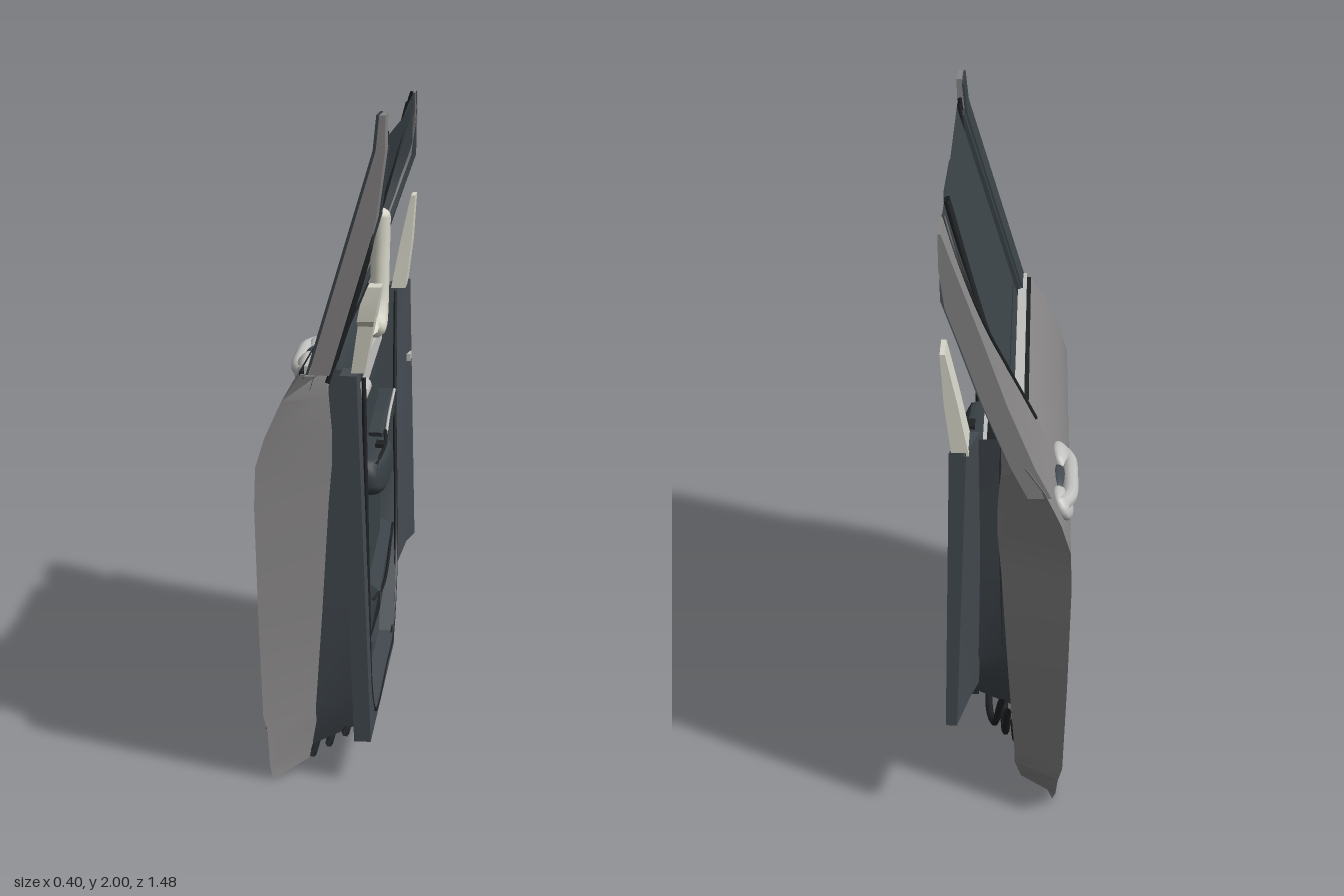
import * as THREE from 'three';
import { toCreasedNormals } from 'three/addons/utils/BufferGeometryUtils.js';

const mat = (name, color) => {
  const m = new THREE.MeshStandardMaterial({ color, side: THREE.DoubleSide });
  m.name = name;
  return m;
};

export function createModel() {
  const paint = mat('grey paint', 0x868484);
  const trim = mat('slate trim', 0x3a4247);
  const pillarTrim = mat('pillar trim', 0x434a50);
  const glass = mat('dark glass', 0x3a4347);
  const bright = mat('bright metal', 0xc0c0bf);
  const cream = mat('cream plastic', 0xd6d5c7);
  const black = mat('black rubber', 0x1f2224);
  const group = new THREE.Group();
  group.name = 'carDoor';

  const add = (name, geo, m, parent = group) => {
    const mesh = new THREE.Mesh(geo, m);
    mesh.name = name;
    parent.add(mesh);
    return mesh;
  };
  const V = (x, y, z) => new THREE.Vector3(x, y, z);

  // Skin over rows of [x, y, z] points; closed rows become a capped solid
  const loft = (rows, closed = false, crease = 0.5) => {
    const n = rows[0].length, index = [], last = (rows.length - 1) * n;
    for (let i = 0; i < rows.length - 1; i++) {
      for (let j = 0; j < (closed ? n : n - 1); j++) {
        const k = (j + 1) % n, a = i * n + j, b = i * n + k;
        index.push(a, b, a + n, b, b + n, a + n);
      }
    }
    if (closed) for (let j = 1; j < n - 1; j++) index.push(0, j + 1, j, last, last + j, last + j + 1);
    const g = new THREE.BufferGeometry();
    g.setAttribute('position', new THREE.Float32BufferAttribute(rows.flat(2), 3));
    g.setIndex(index);
    return toCreasedNormals(g.toNonIndexed(), crease);
  };
  // Solid slab: rows of [y, outer x, inner x, front z, rear z], inner face inset in z
  const slab = (rows, inF = 0, inR = 0) => loft(rows.map(([y, xo, xi, f, r]) =>
    [[xo, y, f], [xo, y, r], [xi, y, r + inR], [xi, y, f - inF]]), true);
  // Side-on outline of [z, y] points, extruded along x
  const plate = (pts, x, depth, bevel = 0) => {
    const s = new THREE.Shape(pts.map(([z, y]) => new THREE.Vector2(-z, y)));
    const g = new THREE.ExtrudeGeometry(s, { depth, bevelEnabled: bevel > 0, bevelSize: bevel, bevelThickness: bevel, bevelSegments: 3 });
    return g.rotateY(Math.PI / 2).translate(x, 0, 0);
  };
  const tube = (pts, r, seg = 32, sides = 8) =>
    new THREE.TubeGeometry(new THREE.CatmullRomCurve3(pts.map(p => V(...p))), seg, r, sides);
  const box = (w, h, d, x, y, z) => new THREE.BoxGeometry(w, h, d).translate(x, y, z);
  // Sloped plane of the windows
  const gx = y => Math.min(0.198, -0.005 + (y - 1.25) * 0.297);
  const bend = (geo, rule) => {
    const p = geo.attributes.position;
    for (let i = 0; i < p.count; i++) p.setX(i, Math.min(0.2, p.getX(i) + rule(p.getY(i), p.getZ(i))));
    geo.computeVertexNormals();
    return geo;
  };

  // Painted door shell with its jambs
  add('doorShell', slab([
    [0, -0.13, -0.1, 0.74, -0.62], [0.04, -0.14, -0.03, 0.74, -0.65],
    [0.15, -0.147, -0.01, 0.74, -0.73], [0.2, -0.16, -0.01, 0.74, -0.74],
    [0.5, -0.172, 0.01, 0.74, -0.74], [0.85, -0.182, 0.03, 0.74, -0.74],
    [0.97, -0.178, 0.04, 0.74, -0.74], [1.06, -0.15, 0.04, 0.74, -0.74],
    [1.17, -0.1, 0.03, 0.74, -0.74], [1.25, -0.045, 0.02, 0.74, -0.74]], 0.08, 0.1), paint);
  add('lowerCrease', tube([[-0.15, 0.16, 0.735], [-0.15, 0.16, -0.72]], 0.003, 4, 5), black);

  // Painted frame behind the windows, and its dark inner lining
  const frame = [[1.15, -0.12, -0.38], [1.25, -0.07, -0.4], [1.45, 0.01, -0.49], [1.62, 0.068, -0.6],
    [1.75, 0.114, -0.64], [1.87, 0.157, -0.63], [1.97, 0.192, -0.59]];
  add('rearFrame', slab(frame.map(([y, x, f]) => [y, x, Math.min(0.2, x + 0.07), f, -0.735])), paint);
  add('rearFrameLining', loft(frame.slice(1).map(([y, x, f]) =>
    [[gx(y) - 0.005, y, f + 0.03], [Math.min(0.2, x + 0.085), y, f - 0.02], [Math.min(0.2, x + 0.085), y, -0.68]])), trim);
  add('rearFrameSeal', tube(frame.slice(1).map(([y, x, f]) => [Math.min(0.19, x), y, f]), 0.008), black);

  // Window panes and the divider bar
  const pane = rows => loft(rows.map(([y, f, r]) => [[gx(y), y, f], [gx(y), y, r]]));
  add('mainWindow', pane([[1.2, 0.72, -0.37], [1.6, 0.66, -0.38], [1.93, 0.6, -0.39]]), glass);
  add('mainWindowTop', loft([[[gx(1.93), 1.93, 0], [gx(1.93), 1.93, -0.4]], [[0.199, 1.935, 0], [0.199, 1.97, -0.4]]]), glass);
  add('quarterWindow', pane([[1.2, -0.37, -0.42], [1.45, -0.37, -0.52], [1.65, -0.38, -0.65], [1.85, -0.39, -0.66], [1.94, -0.4, -0.61]]), glass);
  for (const z of [-0.37, -0.395]) {
    add('windowDivider', tube([[gx(1.25), 1.25, z + 0.012], [gx(1.6), 1.6, z], [0.19, 1.95, z - 0.01]], 0.009), black);
  }
  add('outerBeltStrip', box(0.03, 0.03, 1.1, -0.02, 1.258, 0.17), bright);
  add('outerBeltSeal', box(0.014, 0.02, 1.1, -0.042, 1.247, 0.17), black);

  // Front window pillar
  const pillarRows = (f0, f1, r0, r1, d, t) => [1.25, 1.45, 1.7, 1.9, 2].map((y, i) => {
    const x = Math.min(0.192, gx(y) + d), k = i / 4;
    return [y, x, Math.min(0.2, x + t), f0 + (f1 - f0) * k, r0 + (r1 - r0) * k];
  });
  add('frontPillar', slab(pillarRows(0.74, 0.74, 0.63, 0.63, -0.015, 0.06)), paint);
  add('frontPillarCover', slab(pillarRows(0.735, 0.735, 0.58, 0.58, -0.024, 0.007)), glass);
  add('frontWindowFrame', slab(pillarRows(0.635, 0.62, 0.57, 0.55, -0.015, 0.065).slice(0, 4)), trim);
  for (const z of [0.57, 0.63, 0.7]) {
    add('frontPillarSeal', tube([[gx(1.22) + 0.045, 1.22, z], [gx(1.6) + 0.045, 1.6, z - 0.01], [0.19, 1.94, z - 0.02]], 0.007), black);
  }

  // Inner door panel, rolled back at its edges
  const inner = [[0.13, 0.03, 0.54, -0.16], [0.16, 0.08, 0.6, -0.22], [0.22, 0.105, 0.64, -0.3], [0.35, 0.11, 0.65, -0.42],
    [0.5, 0.105, 0.65, -0.49], [0.85, 0.1, 0.65, -0.55], [1.0, 0.09, 0.645, -0.575],
    [1.2, 0.075, 0.64, -0.61], [1.28, 0.05, 0.63, -0.62], [1.31, 0.01, 0.62, -0.62]];
  add('innerPanel', loft(inner.map(([y, x, f, r]) => Array.from({ length: 17 }, (_, i) => {
    const t = i / 16, e = Math.abs(2 * t - 1);
    return [x - Math.max(0, x - 0.03) * Math.pow(e, 16), y, f + (r - f) * t];
  })), false, 0.8), trim);

  // Body surround: kick strip, sill and rear pillar in one sweep
  add('bodySurround', toCreasedNormals(bend(plate([[0.74, 1.25], [0.74, 0.13], [-0.2, 0.12], [-0.45, 0.33], [-0.6, 0.37],
    [-0.74, 0.36], [-0.74, 1.3], [-0.6, 1.3], [-0.53, 0.85], [-0.47, 0.45], [-0.41, 0.35], [-0.2, 0.165],
    [0.57, 0.16], [0.64, 0.25], [0.625, 1.25]], 0.07, 0.05),
    (y, z) => (1.25 - y) * 0.04 + Math.max(0, -0.5 - z) * 0.25), 0.5), pillarTrim);
  // Wall between the shell and the surround, sloping down to the sill
  add('surroundLining', loft([[0.65, 1.25, 0], [0.655, 0.6, 0], [0.655, 0.25, 0.04], [0.62, 0.145, 0.075], [-0.2, 0.14, 0.075],
    [-0.42, 0.335, 0.03], [-0.48, 0.45, 0], [-0.54, 0.85, 0], [-0.61, 1.28, 0]].map(([z, y, drop]) =>
    [[-0.03 + 0.05 * y, y - drop, z], [0.12 - 0.03 * (y - 0.5), y, z]])), pillarTrim);
  add('surroundSeal', tube([[0.13, 1.22, 0.615], [0.145, 0.6, 0.63], [0.155, 0.25, 0.625], [0.16, 0.16, 0.55], [0.16, 0.155, 0.1],
    [0.16, 0.165, -0.2], [0.155, 0.345, -0.41], [0.15, 0.5, -0.475], [0.14, 0.85, -0.53], [0.135, 1.28, -0.6]], 0.007, 60, 6), black);
  // Weather strips along the lower door edge
  for (const [x, o] of [[0.08, -0.03], [0.03, 0.005], [-0.02, 0.04]]) {
    add('lowerSeal', tube([[x, 0.09 - o, 0.65], [x, 0.08 - o, 0], [x, 0.08 - o, -0.25], [x * 0.7, 0.16 - o, -0.47], [x * 0.4, 0.33 - o, -0.61]], 0.012, 50, 6), black);
  }

  // Armrest and pull ledge
  const armrest = new THREE.SphereGeometry(1, 24, 14);
  const ap = armrest.attributes.position;
  for (let i = 0; i < ap.count; i++) {
    const sq = v => Math.sign(v) * Math.pow(Math.abs(v), 0.55);
    ap.setXYZ(i, 0.1 + 0.08 * sq(ap.getX(i)), 0.85 + 0.07 * sq(ap.getY(i)) + 0.02 * ap.getZ(i), 0.2 + 0.245 * sq(ap.getZ(i)));
  }
  armrest.computeVertexNormals();
  add('armrest', armrest, trim);
  add('armrestRear', plate([[0.02, 0.91], [-0.02, 0.85], [-0.3, 0.85], [-0.5, 0.87], [-0.51, 0.935], [-0.2, 0.93]], 0.08, 0.05, 0.012), trim);
  add('armrestEdge', tube([[0.15, 0.9, 0.0], [0.15, 0.935, -0.1], [0.14, 0.945, -0.51]], 0.005), bright);
  add('armrestLine', tube([[0.15, 0.905, 0.42], [0.165, 0.925, 0.25], [0.15, 0.92, 0.02]], 0.006), black);
  add('windowSwitch', box(0.03, 0.012, 0.06, 0.15, 0.925, 0.22), black);

  // Bright trim strip and door release
  add('trimStrip', bend(plate([[0.2, 1.17], [0.24, 1.09], [0.1, 1.085], [-0.54, 1.12], [-0.54, 1.16]], 0.082, 0.012), (y) => (1.1 - y) * 0.05), bright);
  add('releaseRecess', plate([[0.42, 1.18], [0.39, 1.11], [0.34, 1.09], [0.2, 1.09], [0.18, 1.18]], 0.08, 0.012), trim);
  add('releaseLever', new THREE.CapsuleGeometry(0.026, 0.13, 6, 12).rotateX(Math.PI / 2).translate(0.095, 1.112, 0.28), bright);
  add('releaseEdge', tube([[0.095, 1.19, 0.44], [0.095, 1.185, 0.3], [0.095, 1.175, 0.2]], 0.005), bright);
  add('beltLine', tube([[0.045, 1.29, 0.58], [0.045, 1.3, 0], [0.045, 1.31, -0.55]], 0.004), black);

  // Loudspeaker
  const speaker = new THREE.Group();
  speaker.name = 'loudspeaker';
  speaker.position.set(0.112, 0.42, 0.43);
  speaker.rotation.y = Math.PI / 2;
  group.add(speaker);
  add('speakerGrille', new THREE.CylinderGeometry(0.135, 0.14, 0.012, 32).rotateX(Math.PI / 2), trim, speaker);
  add('speakerRing', new THREE.TorusGeometry(0.15, 0.014, 8, 32), trim, speaker);
  for (const r of [0.135, 0.165]) add('speakerGroove', new THREE.TorusGeometry(r, 0.005, 6, 32), black, speaker);

  // Lower storage pocket
  add('pocket', loft([[[0.1, 0.46, 0.18], [0.1, 0.5, -0.44]], [[0.145, 0.42, 0.16], [0.14, 0.48, -0.43]],
    [[0.145, 0.36, 0.15], [0.14, 0.43, -0.42]], [[0.1, 0.2, 0.13], [0.1, 0.24, -0.29]]]), trim);
  add('pocketLip', tube([[0.125, 0.4, 0.19], [0.147, 0.41, 0.1], [0.142, 0.48, -0.44]], 0.005), black);

  // Cream pillar covers and grab handle
  add('rearPillarCover', slab([[1.29, 0.12, 0.17, -0.595, -0.74], [1.45, 0.15, 0.19, -0.615, -0.74], [1.61, 0.185, 0.2, -0.63, -0.74]]), cream);
  add('frontPillarTrim', slab([[1.25, 0.1, 0.14, 0.7, 0.61], [1.39, 0.12, 0.165, 0.705, 0.58], [1.41, 0.12, 0.17, 0.74, 0.58],
    [1.46, 0.13, 0.18, 0.74, 0.6], [1.51, 0.15, 0.19, 0.735, 0.66]]), cream);
  add('grabHandle', tube([[0.15, 1.38, 0.64], [0.165, 1.365, 0.56], [0.167, 1.42, 0.52], [0.168, 1.55, 0.497], [0.17, 1.68, 0.488]], 0.029, 32, 10), cream);
  add('grabHandleEnd', new THREE.SphereGeometry(0.029, 10, 8).translate(0.17, 1.68, 0.488), cream);
  add('latch', box(0.03, 0.025, 0.06, 0.17, 1.03, -0.69), bright);

  // Outer handle with cup and end caps
  const cup = new THREE.SphereGeometry(1, 20, 12).scale(0.025, 0.045, 0.09).rotateZ(-0.45).translate(-0.15, 1.06, -0.46);
  add('handleCup', cup, pillarTrim);
  add('outerHandle', tube([[-0.15, 1.08, -0.64], [-0.173, 1.078, -0.58], [-0.178, 1.07, -0.44], [-0.172, 1.06, -0.3], [-0.15, 1.055, -0.24]], 0.025, 32, 10), bright);
  for (const [z, l] of [[-0.6, 0.065], [-0.31, 0.08]]) {
    add('handleBase', new THREE.SphereGeometry(1, 16, 10).scale(0.028, 0.052, l).rotateZ(-0.45).translate(-0.153, 1.065, z), bright);
  }
  return group;
}
